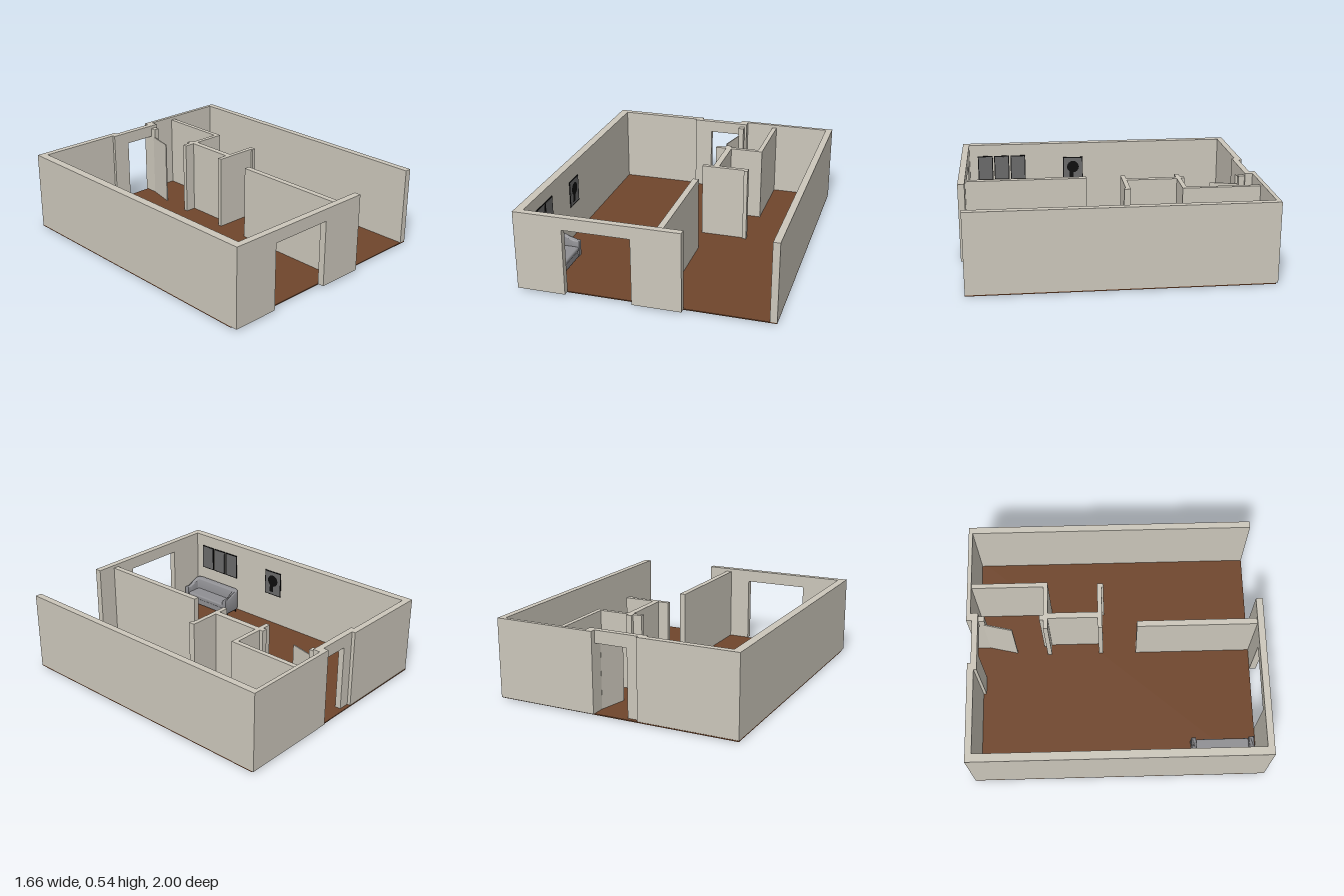
import * as THREE from 'three';
import { toCreasedNormals } from 'three/addons/utils/BufferGeometryUtils.js';
import { RoundedBoxGeometry } from 'three/addons/geometries/RoundedBoxGeometry.js';

const mat = (name, color) => {
  const m = new THREE.MeshStandardMaterial({ color });
  m.name = name;
  return m;
};

export function createModel() {
  const wallPaint = mat('wall paint', 0xccc7bb);
  const wood = mat('brown floor', 0x70462c);
  const fabric = mat('grey fabric', 0x8f8f93);
  const black = mat('black', 0x0c0c0c);
  const print = mat('grey print', 0x6a6a6a);

  const model = new THREE.Group();
  model.name = 'apartment';

  const add = (parent, name, geometry, material) => {
    const mesh = new THREE.Mesh(geometry, material);
    mesh.name = name;
    parent.add(mesh);
    return mesh;
  };
  // Box given by its extents on each axis
  const span = (parent, name, material, [x0, x1], [y0, y1], [z0, z1]) => {
    const mesh = add(parent, name, new THREE.BoxGeometry(x1 - x0, y1 - y0, z1 - z0), material);
    mesh.position.set((x0 + x1) / 2, (y0 + y1) / 2, (z0 + z1) / 2);
    return mesh;
  };

  const base = 0.012, top = 0.543, low = 0.522, lintel = 0.46;
  span(model, 'floor', wood, [-0.83, 0.83], [0.005, base], [-0.985, 0.953]);

  // Outer walls, with the wide front opening and the rear doorway
  const outer = new THREE.Group();
  outer.name = 'outerWalls';
  model.add(outer);
  const full = [base, top], over = [lintel, top];
  [
    ['leftSideWall', [-0.83, -0.775], full, [-0.983, 0.953]],
    ['rightSideWall', [0.785, 0.83], full, [-0.997, 0.953]],
    ['frontWallCorner', [-0.83, -0.51], full, [0.953, 0.998]],
    ['frontWallPier', [-0.07, 0.25], full, [0.953, 0.998]],
    ['frontWallLintel', [-0.51, -0.07], over, [0.953, 0.998]],
    ['backWallLong', [-0.775, -0.163], full, [-0.983, -0.94]],
    ['backWallShort', [0.137, 0.785], full, [-0.997, -0.97]],
    ['doorwayPier', [-0.21, -0.085], full, [-0.96, -0.92]],
    ['doorwayLintel', [-0.085, 0.137], over, [-0.96, -0.92]],
    ['doorwayJamb', [0.137, 0.19], full, [-0.97, -0.92]],
  ].forEach(([name, x, y, z]) => span(outer, name, wallPaint, x, y, z));

  // Slightly lower partitions
  const inner = new THREE.Group();
  inner.name = 'innerWalls';
  model.add(inner);
  [
    ['kitchenPartition', [0.075, 0.115], [0.145, 0.953]],
    ['bathroomSideWall', [0.38, 0.412], [-0.97, -0.485]],
    ['bathroomFrontWall', [0.075, 0.412], [-0.485, -0.455]],
    ['bathroomDoorPost', [0.137, 0.175], [-0.51, -0.485]],
    ['rearDoorPost', [0.137, 0.175], [-0.92, -0.88]],
    ['closetBackWall', [0.148, 0.188], [-0.455, -0.118]],
    ['closetFrontWall', [0.075, 0.396], [-0.118, -0.088]],
    ['closetWallEnd', [0.37, 0.396], [-0.088, -0.075]],
  ].forEach(([name, x, z]) => span(inner, name, wallPaint, x, [base, low], z));

  // Door standing ajar
  const door = add(model, 'openDoor', new THREE.BoxGeometry(0.008, 0.448, 0.2), wallPaint);
  door.position.set(0.117, base + 0.224, -0.797);
  door.rotation.y = -0.23;

  // Sofa, facing +x
  const sofa = new THREE.Group();
  sofa.name = 'sofa';
  sofa.position.set(-0.685, 0, 0.715);
  model.add(sofa);
  const f = 0.075, b = -0.075, h = 0.205, r = 0.04, inB = -0.04, inH = 0.19;
  const steps = [0.05, 0.025, 0];
  const u = new THREE.Shape();
  u.moveTo(f, h);
  steps.forEach((x) => u.lineTo(x, h));
  u.lineTo(b + r, h);
  u.quadraticCurveTo(b, h, b, h - r);
  u.lineTo(b, r - h);
  u.quadraticCurveTo(b, -h, b + r, -h);
  [...steps].reverse().forEach((x) => u.lineTo(x, -h));
  u.lineTo(f, -h);
  u.lineTo(f, -inH);
  steps.forEach((x) => u.lineTo(x, -inH));
  u.lineTo(inB + 0.02, -inH);
  u.quadraticCurveTo(inB, -inH, inB, 0.02 - inH);
  u.lineTo(inB, inH - 0.02);
  u.quadraticCurveTo(inB, inH, inB + 0.02, inH);
  [...steps].reverse().forEach((x) => u.lineTo(x, inH));
  u.lineTo(f, inH);
  const shell = new THREE.ExtrudeGeometry(u, {
    depth: 0.14, bevelEnabled: true, bevelThickness: 0.01, bevelSize: 0.009, bevelSegments: 3, curveSegments: 8,
  });
  shell.rotateX(-Math.PI / 2).translate(0, 0.01, 0);
  // Arms slope down smoothly from the back to the front
  const p = shell.attributes.position;
  for (let i = 0; i < p.count; i++) {
    const drop = THREE.MathUtils.smoothstep(p.getX(i), -0.06, 0.06);
    p.setY(i, 0.03 + p.getY(i) * (1 - 0.27 * drop));
  }
  add(sofa, 'backAndArms', toCreasedNormals(shell, 0.7), fabric);
  const seatBase = add(sofa, 'seatBase', new THREE.BoxGeometry(0.12, 0.045, 0.385), fabric);
  seatBase.position.set(0.015, 0.0525, 0);
  const cushion = add(sofa, 'seatCushion', new RoundedBoxGeometry(0.125, 0.035, 0.362, 3, 0.012), fabric);
  cushion.position.set(0.02, 0.09, 0);
  for (const x of [-0.05, 0.052]) {
    for (const z of [-0.2, 0.2]) {
      const foot = add(sofa, 'foot', new THREE.CylinderGeometry(0.007, 0.005, 0.034, 12), black);
      foot.position.set(x, 0.017, z);
    }
  }

  // Framed pictures on the left side wall
  const picture = (name, z, y, w, hgt) => {
    const g = new THREE.Group();
    g.name = name;
    g.position.set(-0.775, y, z);
    model.add(g);
    span(g, 'frame', black, [0, 0.004], [-hgt / 2, hgt / 2], [-w / 2, w / 2]);
    span(g, 'print', print, [0.004, 0.005], [0.007 - hgt / 2, hgt / 2 - 0.007], [0.007 - w / 2, w / 2 - 0.007]);
    return g;
  };
  const portrait = picture('largePicture', 0.175, 0.338, 0.15, 0.19);
  // Dark silhouette: a round crown over a narrow stem
  const crown = add(portrait, 'silhouetteCrown', new THREE.CircleGeometry(0.045, 24), black);
  crown.rotation.y = Math.PI / 2;
  crown.position.set(0.006, 0.02, 0);
  span(portrait, 'silhouetteStem', black, [0.005, 0.006], [-0.07, 0], [-0.005, 0.027]);
  for (const z of [0.592, 0.714, 0.836]) picture('smallPicture', z, 0.365, 0.112, 0.185);

  return model;
}
